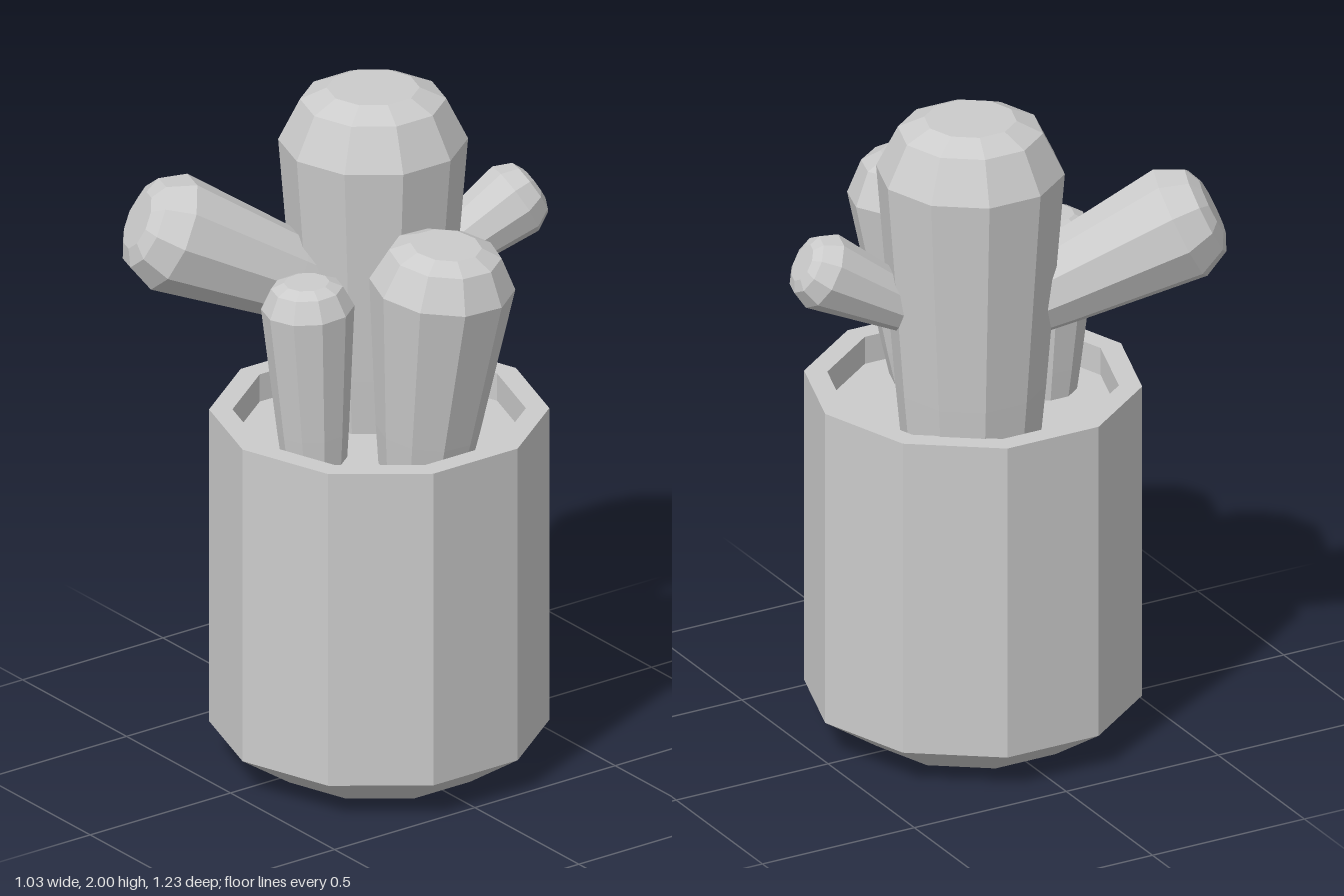
import * as THREE from 'three';

const SIDES = 10;
const material = new THREE.MeshStandardMaterial({ color: 0xcccccc, flatShading: true });

// Ten-sided solid turned from [radius, height] pairs, listed bottom to top
function turned(name, points) {
  const profile = points.map(([r, y]) => new THREE.Vector2(r, y));
  const mesh = new THREE.Mesh(new THREE.LatheGeometry(profile, SIDES), material);
  mesh.name = name;
  return mesh;
}

// Tapered cactus stem with a faceted dome, running from base to tip
function stem(name, base, tip, baseRadius, radius) {
  const from = new THREE.Vector3(...base);
  const axis = new THREE.Vector3(...tip).sub(from);
  const length = axis.length();
  const dome = radius * 0.59;
  const shoulder = length - dome;
  const mesh = turned(name, [
    [0, 0],
    [baseRadius, 0],
    [baseRadius + (radius - baseRadius) * 0.25, shoulder * 0.22],
    [radius, shoulder],
    [radius * 0.77, shoulder + dome * 0.78],
    [radius * 0.49, length],
    [0, length],
  ]);
  mesh.position.copy(from);
  mesh.quaternion.setFromUnitVectors(new THREE.Vector3(0, 1, 0), axis.normalize());
  return mesh;
}

export function createModel() {
  const model = new THREE.Group();
  model.name = 'pottedCactus';

  // Pot with chamfered foot and hollow rim
  const pot = turned('pot', [
    [0, 0], [0.32, 0], [0.487, 0.11], [0.487, 1.085], [0.42, 1.085], [0.42, 0.99],
  ]);
  const soil = turned('soil', [[0.42, 1.0], [0, 1.0]]);
  pot.position.x = soil.position.x = 0.04;
  model.add(pot, soil);

  // Upright stems growing from the soil
  model.add(
    stem('mainStem', [-0.135, 0.98, -0.108], [-0.135, 2.0, -0.108], 0.2, 0.272),
    stem('leftStem', [0.268, 0.98, 0.01], [0.335, 1.695, -0.02], 0.13, 0.21),
    stem('smallStem', [0.05, 0.98, 0.238], [0.042, 1.55, 0.26], 0.093, 0.134),
  );

  // Arms branching from the main stem
  model.add(
    stem('frontArm', [-0.165, 1.41, 0.055], [-0.38, 1.67, 0.55], 0.115, 0.175),
    stem('backArm', [-0.1, 1.4, -0.24], [-0.018, 1.61, -0.595], 0.065, 0.115),
  );

  return model;
}
